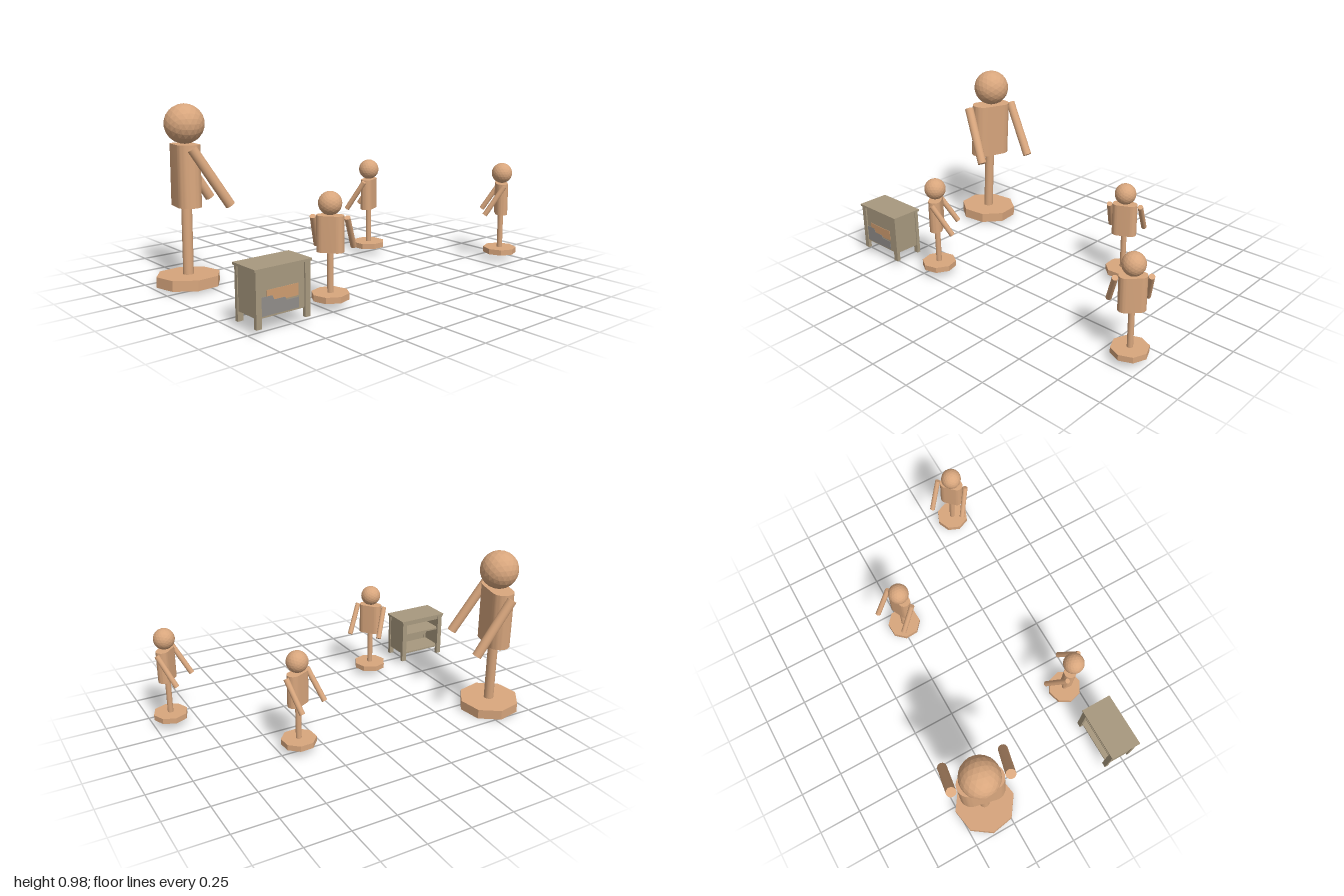
import * as THREE from 'three';
import { toCreasedNormals } from 'three/addons/utils/BufferGeometryUtils.js';

const mat = (name, color) => new THREE.MeshStandardMaterial({ name, color });

// Faceted look without a separate material
function faceted(geometry) {
  const g = geometry.index ? geometry.toNonIndexed() : geometry;
  g.computeVertexNormals();
  return g;
}

// Stadium-shaped torso outline extruded upwards
function torsoGeometry(halfWidth, radius, height) {
  const s = new THREE.Shape();
  const c = halfWidth - radius;
  s.absarc(c, 0, radius, -Math.PI / 2, Math.PI / 2, false);
  s.absarc(-c, 0, radius, Math.PI / 2, Math.PI * 1.5, false);
  const g = new THREE.ExtrudeGeometry(s, { depth: height, bevelEnabled: false, curveSegments: 10 });
  g.rotateX(-Math.PI / 2);
  return toCreasedNormals(g, 0.6);
}

export function createModel() {
  const root = new THREE.Group();
  root.name = 'figuresAndTable';
  const clay = mat('clay', 0xd8a67d);
  const wood = mat('greyWood', 0xa8997f);
  const grey = mat('grey', 0x918e8a);
  const orange = mat('orange', 0xcf9d70);

  const add = (parent, name, geometry, material, x = 0, y = 0, z = 0) => {
    const m = new THREE.Mesh(geometry, material);
    m.name = name;
    m.position.set(x, y, z);
    parent.add(m);
    return m;
  };

  // Shared figure parts
  const baseGeo = faceted(new THREE.CylinderGeometry(0.098, 0.098, 0.032, 8));
  const poleGeo = new THREE.CylinderGeometry(0.016, 0.016, 0.241, 16);
  const torsoGeo = torsoGeometry(0.07, 0.035, 0.185);
  const headGeo = faceted(new THREE.IcosahedronGeometry(0.06, 3));
  const shoulder = new THREE.Vector3(0.087, 0.417, -0.005);
  const hand = new THREE.Vector3(0.096, 0.247, 0.104);
  const armGeo = new THREE.CylinderGeometry(0.0152, 0.0152, shoulder.distanceTo(hand), 16);
  const up = new THREE.Vector3(0, 1, 0);

  function figure(name, position, facing, scale = 1, lean = up) {
    const g = new THREE.Group();
    g.name = name;
    add(g, 'base', baseGeo, clay, 0, 0.016, 0);
    add(g, 'pole', poleGeo, clay, 0, 0.1195, 0);
    add(g, 'torso', torsoGeo, clay, 0, 0.24, 0);
    add(g, 'head', headGeo, clay, 0, 0.485, 0);
    for (const side of [1, -1]) {
      const a = shoulder.clone(), b = hand.clone();
      a.x *= side;
      b.x *= side;
      const arm = add(g, side > 0 ? 'leftArm' : 'rightArm', armGeo, clay);
      arm.position.copy(a).add(b).multiplyScalar(0.5);
      arm.quaternion.setFromUnitVectors(up, a.sub(b).normalize());
    }
    const yaw = new THREE.Quaternion().setFromAxisAngle(up, Math.atan2(facing[0], facing[1]));
    g.quaternion.setFromUnitVectors(up, lean.clone().normalize()).multiply(yaw);
    g.position.set(...position);
    g.scale.setScalar(scale);
    root.add(g);
  }

  figure('largeFigure', [-0.343, 0.009, 0.82], [0.22, -0.97], 1.79, new THREE.Vector3(-0.04, 1, -0.03));
  figure('rearFigure', [0.39, 0.042, -0.9], [-0.7, 0.71]);
  figure('middleFigure', [-0.234, 0.042, -0.39], [-0.9, 0.43]);
  figure('tableFigure', [0.42, 0.042, 0.452], [-0.61, -0.79]);

  // Side table, open towards -x
  const table = new THREE.Group();
  table.name = 'sideTable';
  table.position.set(0.4625, 0, 0.83);
  root.add(table);
  const box = (name, w, h, d, x, y, z) =>
    add(table, name, new THREE.BoxGeometry(w, h, d), wood, x, y, z);
  box('tableTop', 0.183, 0.012, 0.32, 0, 0.311, 0);
  for (const x of [-1, 1]) for (const z of [-1, 1]) {
    box('leg', 0.02, 0.27, 0.03, x * 0.076, 0.17, z * 0.138);
  }
  box('floorShelf', 0.15, 0.01, 0.28, 0, 0.085, 0);
  box('middleShelf', 0.145, 0.01, 0.27, 0, 0.21, 0);
  for (const z of [-1, 1]) box('endPanel', 0.14, 0.22, 0.01, 0, 0.195, z * 0.143);
  box('backPanel', 0.01, 0.22, 0.25, 0.073, 0.195, 0);
  box('openSideRail', 0.01, 0.025, 0.25, -0.073, 0.293, 0);

  // Painted patches on the back panel; shape x runs along -z
  const patch = (name, points, material, x) => {
    const shape = new THREE.Shape(points.map(p => new THREE.Vector2(...p)));
    const m = add(table, name, new THREE.ExtrudeGeometry(shape, { depth: 0.002, bevelEnabled: false }), material, x, 0, 0);
    m.rotation.y = Math.PI / 2;
  };
  patch('orangePatch', [[-0.09, 0.15], [0.088, 0.15], [0.088, 0.209], [-0.09, 0.209]], orange, 0.078);
  patch('greyPatch', [[-0.123, 0.09], [0.088, 0.09], [0.088, 0.142], [0.02, 0.142], [0.01, 0.158],
    [-0.05, 0.158], [-0.06, 0.18], [-0.123, 0.18]], grey, 0.079);

  return root;
}
